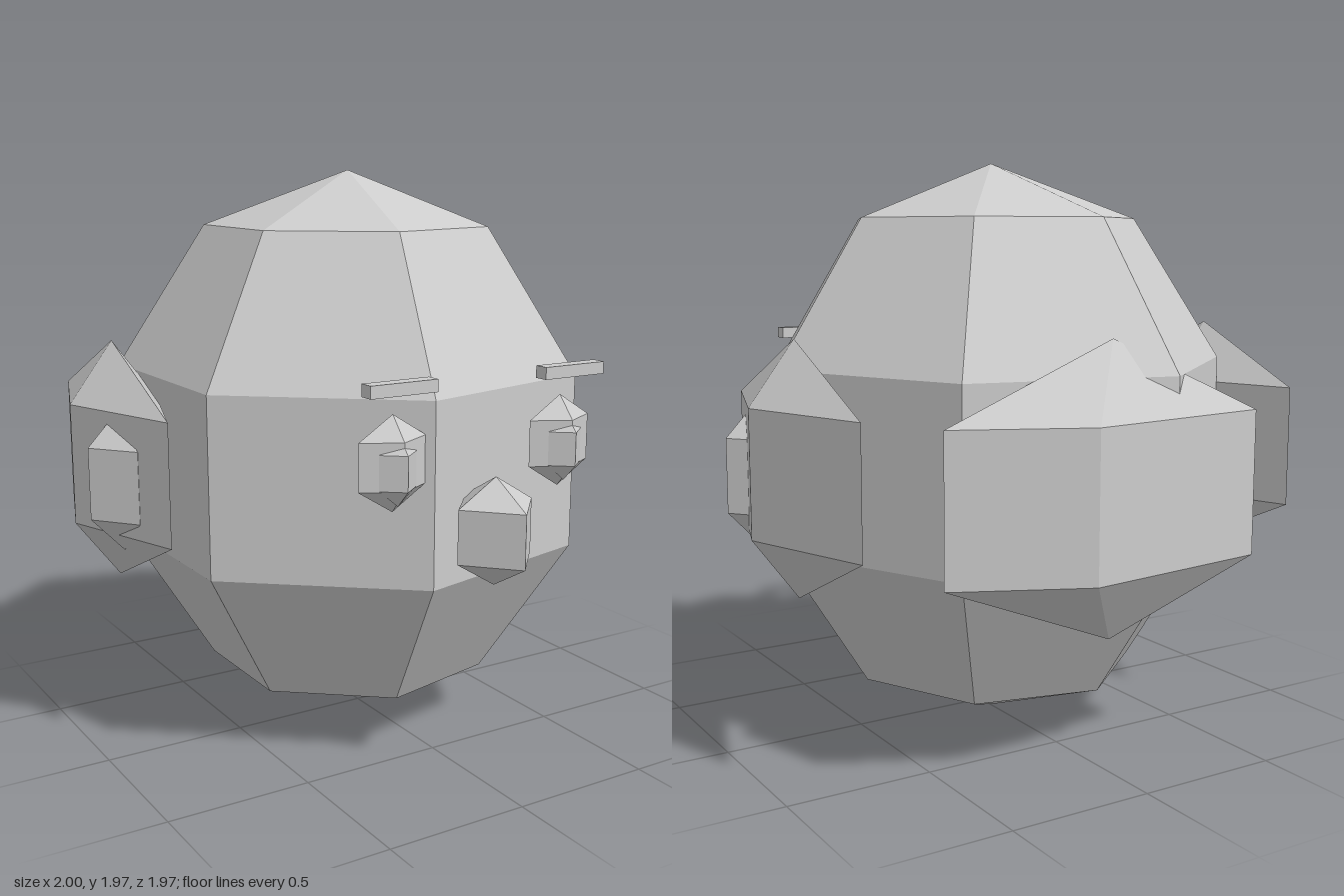
import * as THREE from 'three';

const grey = new THREE.MeshStandardMaterial({ color: 0xcccccc });
grey.name = 'light grey';

// Faceted ellipsoid with a corner pointing along +x
function gem(name, sides, rings, radii, position) {
  const geometry = new THREE.SphereGeometry(1, sides, rings)
    .rotateY(Math.PI)
    .scale(...radii)
    .toNonIndexed();
  geometry.computeVertexNormals();
  const mesh = new THREE.Mesh(geometry, grey);
  mesh.name = name;
  mesh.position.set(...position);
  return mesh;
}

export function createModel() {
  const model = new THREE.Group();
  model.name = 'head';

  // Centre parts
  model.add(
    gem('skull', 7, 5, [0.862, 0.987, 0.89], [0, 0.99, -0.07]),
    gem('nose', 4, 3, [0.166, 0.177, 0.18], [0, 0.872, 0.826]),
    gem('backHair', 5, 3, [0.702, 0.483, 0.237], [0, 0.93, -0.79])
  );

  // Paired parts, one set for each side
  for (const [side, s] of [['left', 1], ['right', -1]]) {
    model.add(
      gem(side + 'Ear', 4, 3, [0.181, 0.417, 0.535], [s * 0.835, 0.993, -0.25]),
      gem(side + 'InnerEar', 4, 3, [0.133, 0.245, 0.167], [s * 0.885, 0.963, -0.07]),
      gem(side + 'Eye', 4, 3, [0.141, 0.153, 0.077], [s * 0.326, 1.112, 0.733]),
      gem(side + 'Pupil', 4, 3, [0.078, 0.112, 0.065], [s * 0.326, 1.095, 0.764])
    );

    const brow = new THREE.Mesh(new THREE.BoxGeometry(0.24, 0.04, 0.05), grey);
    brow.name = side + 'Brow';
    brow.position.set(s * 0.328, 1.352, 0.777);
    model.add(brow);
  }

  return model;
}
